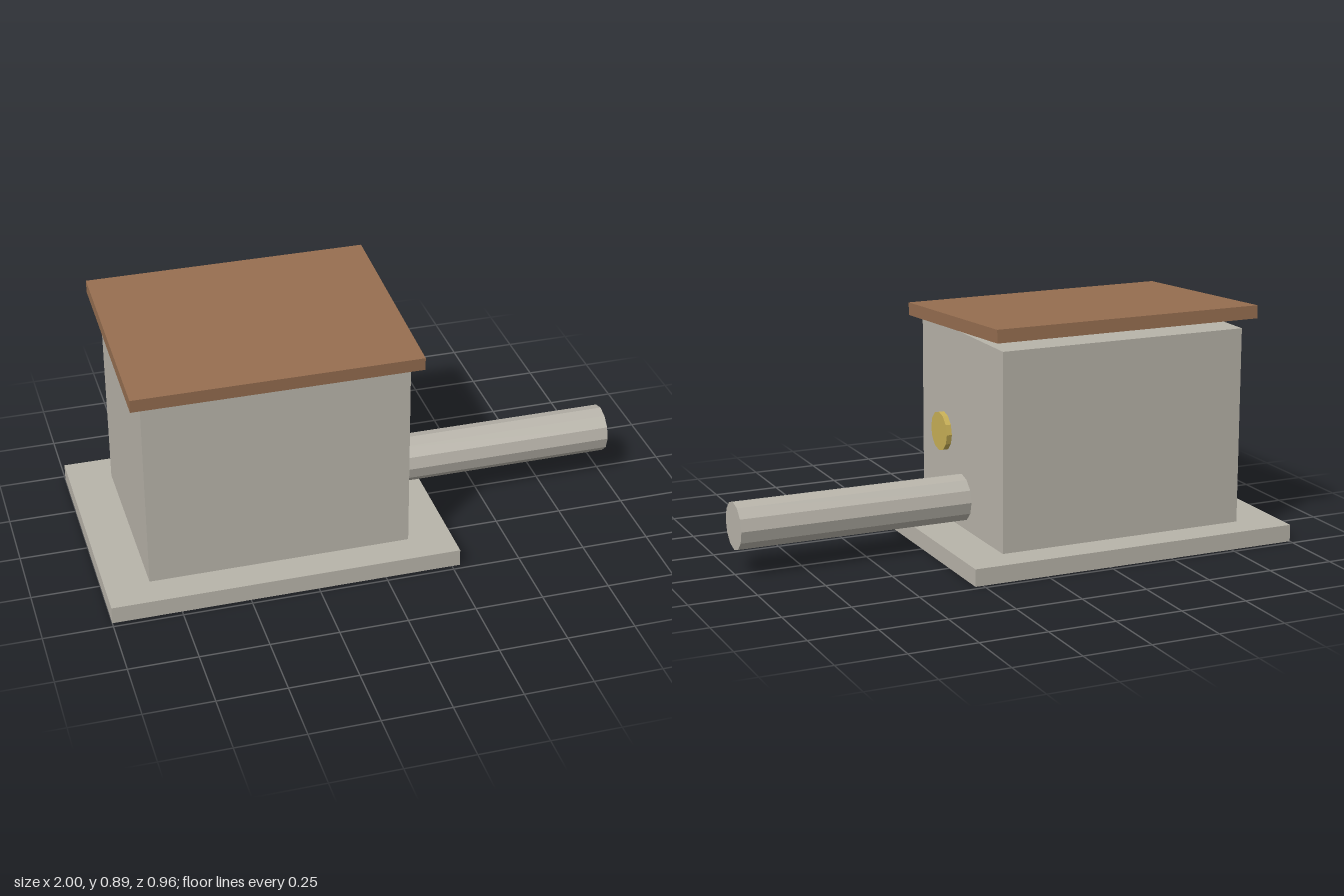
import * as THREE from 'three';

export function createModel() {
  const model = new THREE.Group();
  const mat = (name, color) => {
    const m = new THREE.MeshStandardMaterial({ color, flatShading: true });
    m.name = name;
    return m;
  };
  const stone = mat('pale stone', 0xb8b4aa);
  const wood = mat('brown roof', 0x966e50);
  const brass = mat('brass', 0xc8b056);

  const add = (name, geometry, material, x, y) => {
    const mesh = new THREE.Mesh(geometry, material);
    mesh.name = name;
    mesh.position.set(x, y, 0);
    model.add(mesh);
    return mesh;
  };
  // twelve-sided cylinder lying along x
  const rod = (radius, length) =>
    new THREE.CylinderGeometry(radius, radius, length, 12).rotateZ(-Math.PI / 2);

  // slab and walls
  add('base', new THREE.BoxGeometry(1.28, 0.064, 0.96), stone, -0.36, 0.032);
  add('body', new THREE.BoxGeometry(0.96, 0.736, 0.72), stone, -0.36, 0.432);

  // lean-to roof, higher at the back
  const roof = add('roof', new THREE.BoxGeometry(1.04, 0.048, 0.8), wood, -0.36, 0.841);
  roof.rotation.x = 0.06;

  // outlet pipe and the disc hovering above it
  add('pipe', rod(0.088, 0.88), stone, 0.56, 0.18);
  add('disc', rod(0.072, 0.02), brass, 0.2, 0.441);

  return model;
}
